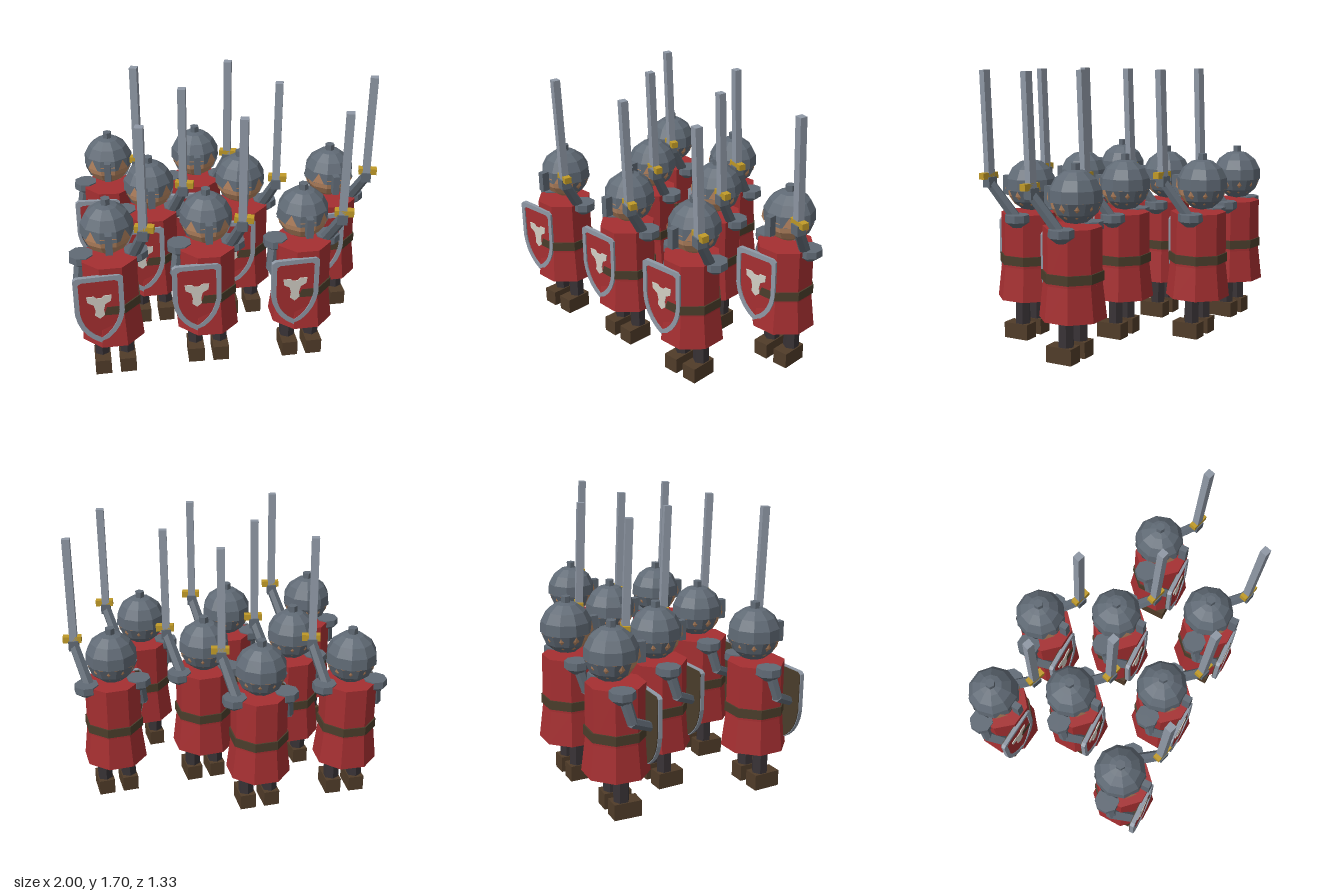
import * as THREE from 'three';

const mat = (name, color, side = THREE.FrontSide) => {
  const m = new THREE.MeshStandardMaterial({ color, side });
  m.name = name;
  return m;
};
const M = {
  cloth: mat('red cloth', 0xa52f31, THREE.DoubleSide),
  steel: mat('dark steel', 0x606a75, THREE.DoubleSide),
  silver: mat('bright steel', 0x8f98a5),
  gold: mat('brass', 0xc09a28),
  boots: mat('boot leather', 0x503c29),
  belt: mat('dark leather', 0x4a3d2b),
  hose: mat('dark hose', 0x393336),
  skin: mat('skin', 0xb58460),
  emblem: mat('pale emblem', 0xd2cec4),
};

// Faceted normals for the low-poly look
const flat = (g) => {
  const f = g.index ? g.toNonIndexed() : g;
  f.computeVertexNormals();
  return f;
};
function add(parent, name, geo, material, x = 0, y = 0, z = 0) {
  const m = new THREE.Mesh(flat(geo), material);
  m.name = name;
  m.position.set(x, y, z);
  parent.add(m);
  return m;
}
const box = (w, h, d) => new THREE.BoxGeometry(w, h, d);
// Octagonal frustum with a flat side facing the front; radii are to the flats
const octagon = (top, bottom, h) => {
  const k = 1 / Math.cos(Math.PI / 8);
  return new THREE.CylinderGeometry(top * k, bottom * k, h, 8).rotateY(Math.PI / 8);
};
// Straight limb between two points
function limb(parent, name, a, b, radius, material) {
  const from = new THREE.Vector3(...a), to = new THREE.Vector3(...b);
  const dir = to.clone().sub(from);
  const m = add(parent, name, new THREE.CylinderGeometry(radius * 0.9, radius, dir.length(), 6), material);
  m.position.copy(from).add(to).multiplyScalar(0.5);
  m.quaternion.setFromUnitVectors(new THREE.Vector3(0, 1, 0), dir.normalize());
}

function shieldShape(sx = 1, sy = 1) {
  const w = 0.148 * sx, c = 0.25, Y = (y) => c + (y - c) * sy;
  const s = new THREE.Shape();
  s.moveTo(0, Y(0));
  s.quadraticCurveTo(w * 0.88, Y(0.07), w, Y(0.22));
  s.lineTo(w, Y(0.455));
  s.lineTo(w - 0.02, Y(0.47));
  s.lineTo(-w + 0.02, Y(0.47));
  s.lineTo(-w, Y(0.455));
  s.lineTo(-w, Y(0.22));
  s.quadraticCurveTo(-w * 0.88, Y(0.07), 0, Y(0));
  return s;
}
const extrude = (shape, depth) =>
  new THREE.ExtrudeGeometry(shape, { depth, bevelEnabled: false, curveSegments: 5 });

function createShield() {
  const g = new THREE.Group();
  g.name = 'shield';
  const rim = shieldShape();
  rim.holes.push(shieldShape(0.8, 0.86));
  add(g, 'shieldRim', extrude(rim, 0.026), M.silver);
  add(g, 'shieldField', extrude(shieldShape(0.8, 0.86), 0.018), M.cloth);
  add(g, 'shieldBack', extrude(shieldShape(0.97, 0.98), 0.005), M.belt, 0, 0, -0.005);
  // Three-lobed device
  const half = [[0.015, 0.045], [0.03, 0.06], [0.075, 0.06], [0.07, 0.02],
    [0.035, 0], [0.025, -0.04], [0.03, -0.075], [0, -0.1]];
  const mirrored = half.slice(0, -1).reverse().map(([x, y]) => [-x, y]);
  const device = new THREE.Shape([...half, ...mirrored].map((p) => new THREE.Vector2(...p)));
  add(g, 'shieldEmblem', extrude(device, 0.006), M.emblem, 0, 0.275, 0.017);
  return g;
}

function createSword() {
  const g = new THREE.Group();
  g.name = 'sword';
  add(g, 'blade', box(0.048, 0.66, 0.045), M.silver, 0, 0.36, 0);
  add(g, 'crossguard', box(0.115, 0.04, 0.045), M.gold, 0.008, 0.04, 0);
  add(g, 'hand', box(0.062, 0.065, 0.062), M.steel, 0, 0, 0);
  return g;
}

function createHead() {
  const g = new THREE.Group();
  g.name = 'head';
  g.position.set(0, 0.98, -0.025);
  const r = 0.163, brow = 0.55 * Math.PI, wrap = 0.38;
  add(g, 'face', new THREE.SphereGeometry(0.157, 10, 8), M.skin, 0, -0.002, 0.003);
  add(g, 'helmetDome', new THREE.SphereGeometry(r, 10, 4, 0, Math.PI * 2, 0, brow), M.steel);
  add(g, 'helmetNape', new THREE.SphereGeometry(r, 6, 3, Math.PI - wrap, Math.PI + 2 * wrap, brow, Math.PI - brow), M.steel);
  add(g, 'helmetKnob', new THREE.CylinderGeometry(0.03, 0.03, 0.06, 6), M.steel, 0, 0.165, 0);
  add(g, 'noseGuard', box(0.042, 0.125, 0.05), M.steel, 0, -0.012, 0.18);
  // Pointed openings beside the nose guard
  for (const s of [-1, 1]) {
    const peak = add(g, 'eyeOpening', new THREE.CircleGeometry(0.045, 3, Math.PI / 2), M.skin, s * 0.1, 0.003, 0.128);
    peak.rotation.y = s * 0.67;
  }
  return g;
}

function createSoldier() {
  const g = new THREE.Group();
  g.name = 'soldier';
  // Tunic, skirt and belt
  add(g, 'tunic', octagon(0.163, 0.165, 0.345), M.cloth, 0, 0.6325, 0);
  add(g, 'skirt', octagon(0.165, 0.188, 0.21), M.cloth, 0, 0.365, 0);
  add(g, 'belt', octagon(0.173, 0.174, 0.057), M.belt, 0, 0.515, 0);
  g.add(createHead());

  for (const s of [-1, 1]) {
    // Legs and boots
    add(g, 'leg', new THREE.CylinderGeometry(0.05, 0.05, 0.3, 6), M.hose, s * 0.078, 0.22, 0);
    add(g, 'boot', box(0.1, 0.1, 0.172), M.boots, s * 0.078, 0.05, 0.024);
    // Shoulder plates
    add(g, 'shoulderPlate', octagon(0.07, 0.072, 0.045), M.steel, s * 0.165, 0.79, -0.028);
    add(g, 'shoulderUnderside', octagon(0.072, 0.03, 0.035), M.steel, s * 0.165, 0.75, -0.028);
  }

  // Raised sword arm
  limb(g, 'swordArm', [0.14, 0.765, -0.02], [0.2, 1.0, 0.142], 0.037, M.steel);
  const sword = createSword();
  sword.position.set(0.202, 1.01, 0.146);
  sword.rotation.set(0.035, -0.25, 0);
  g.add(sword);

  // Shield arm
  limb(g, 'shieldUpperArm', [-0.175, 0.77, -0.02], [-0.2, 0.62, 0.02], 0.036, M.steel);
  limb(g, 'shieldForearm', [-0.2, 0.63, 0.01], [-0.14, 0.56, 0.155], 0.033, M.steel);
  const shield = createShield();
  shield.position.set(-0.079, 0.295, 0.157);
  shield.rotation.y = 0.045;
  g.add(shield);
  return g;
}

export function createModel() {
  const model = new THREE.Group();
  model.name = 'soldierFormation';
  // x, z and turn of each soldier in three staggered ranks
  const ranks = [
    [-0.763, 0.457, 0], [-0.167, 0.43, -0.04], [0.427, 0.457, 0],
    [-0.465, -0.055, 0], [0.13, -0.055, 0], [0.725, -0.055, 0],
    [-0.702, -0.475, -0.09], [-0.11, -0.48, -0.04],
  ];
  for (const [x, z, turn] of ranks) {
    const s = createSoldier();
    s.position.set(x, 0, z);
    s.rotation.y = turn;
    model.add(s);
  }
  return model;
}
